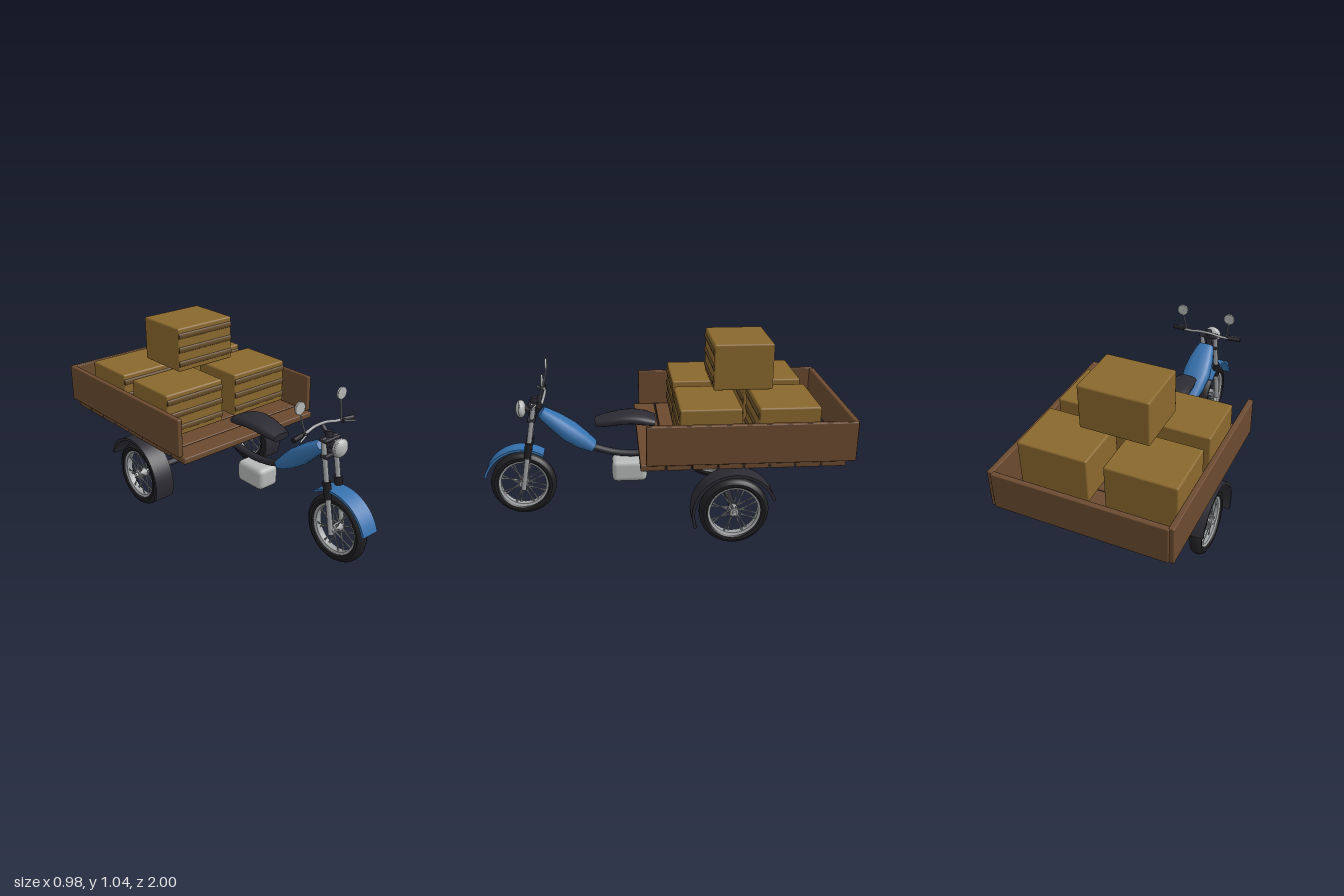
import * as THREE from 'three';
import { toCreasedNormals } from 'three/addons/utils/BufferGeometryUtils.js';
import { RoundedBoxGeometry } from 'three/addons/geometries/RoundedBoxGeometry.js';

const mat = (name, color) => {
  const m = new THREE.MeshStandardMaterial({ color });
  m.name = name;
  return m;
};
const V = (x, y, z) => new THREE.Vector3(x, y, z);

export function createModel() {
  const rubber = mat('black rubber', 0x202024);
  const dark = mat('dark frame', 0x2c2b33);
  const blue = mat('blue paint', 0x3571ad);
  const wood = mat('brown wood', 0x6b4a30);
  const crateTan = mat('tan crate', 0x8a682d);
  const slatBrown = mat('slat brown', 0x664c29);
  const chrome = mat('chrome', 0x9fa2a4);
  const pale = mat('pale metal', 0xb6b9b8);

  const root = new THREE.Group();
  root.name = 'cargoTricycle';

  const add = (name, geo, material, parent = root, pos = [0, 0, 0]) => {
    const m = new THREE.Mesh(geo, material);
    m.name = name;
    m.position.set(...pos);
    parent.add(m);
    return m;
  };
  const box = (name, size, pos, material, r = 0.006, parent = root) =>
    add(name, new RoundedBoxGeometry(...size, 2, r), material, parent, pos);
  // Cylinder between two points
  const rod = (name, a, b, r, material, parent = root, sides = 12, r2 = r) => {
    const d = b.clone().sub(a);
    const m = add(name, new THREE.CylinderGeometry(r2, r, d.length(), sides), material, parent);
    m.position.copy(a).addScaledVector(d, 0.5);
    m.quaternion.setFromUnitVectors(V(0, 1, 0), d.normalize());
    return m;
  };
  const tube = (name, pts, r, material, sides = 10) =>
    add(name, new THREE.TubeGeometry(new THREE.CatmullRomCurve3(pts), 32, r, sides), material);

  // Elliptical loft along the middle plane; sections run from front to back: [z, y, halfWidth, halfHeight]
  const loft = (name, sections, material, n = 16) => {
    const pos = [], idx = [], last = sections.length - 1;
    sections.forEach(([z, y, w, h], i) => {
      const p = sections[Math.max(0, i - 1)], q = sections[Math.min(last, i + 1)];
      const dz = q[0] - p[0], dy = q[1] - p[1], len = Math.hypot(dz, dy);
      for (let j = 0; j < n; j++) {
        const a = (j / n) * Math.PI * 2, c = Math.cos(a), s = Math.sin(a);
        const u = Math.sign(c) * Math.abs(c) ** 0.75 * w, v = Math.sign(s) * Math.abs(s) ** 0.75 * h;
        pos.push(u, y - (dz / len) * v, z + (dy / len) * v);
      }
    });
    for (let i = 0; i < last; i++) for (let j = 0; j < n; j++) {
      const k = (j + 1) % n, a = i * n + j, b = a + n, c = i * n + k, d = c + n;
      idx.push(a, b, c, b, d, c);
    }
    for (let j = 1; j < n - 1; j++) {
      idx.push(0, j, j + 1);
      idx.push(last * n, last * n + j + 1, last * n + j);
    }
    const g = new THREE.BufferGeometry();
    g.setAttribute('position', new THREE.Float32BufferAttribute(pos, 3));
    g.setIndex(idx);
    return add(name, toCreasedNormals(g, 0.8), material);
  };

  // Spoked wheel turning about x
  const wheel = (name, x, z) => {
    const g = new THREE.Group();
    g.name = name;
    g.position.set(x, 0.19, z);
    root.add(g);
    const ring = (part, profile, material) => {
      const geo = new THREE.LatheGeometry(profile.map(p => new THREE.Vector2(...p)), 40);
      geo.rotateZ(Math.PI / 2);
      add(part, toCreasedNormals(geo, 0.6), material, g);
    };
    ring('tyre', [[0.138, -0.02], [0.15, -0.032], [0.165, -0.034], [0.18, -0.025], [0.187, -0.012],
      [0.187, 0.012], [0.18, 0.025], [0.165, 0.034], [0.15, 0.032], [0.138, 0.02], [0.138, -0.02]], rubber);
    ring('rim', [[0.129, -0.018], [0.141, -0.024], [0.141, 0.024], [0.129, 0.018], [0.129, -0.018]], chrome);
    rod('hub', V(-0.032, 0, 0), V(0.032, 0, 0), 0.024, chrome, g, 16);
    rod('hubCap', V(-0.045, 0, 0), V(0.045, 0, 0), 0.012, pale, g, 12);
    const count = 32;
    for (let i = 0; i < count; i++) {
      const side = i % 2 ? 1 : -1, a = (i / count) * Math.PI * 2;
      const b = a + (i % 4 < 2 ? 0.22 : -0.22);
      rod('spoke', V(side * 0.024, Math.sin(a) * 0.022, Math.cos(a) * 0.022),
        V(side * 0.006, Math.sin(b) * 0.132, Math.cos(b) * 0.132), 0.0026, pale, g, 5);
    }
  };
  wheel('frontWheel', 0, 0.785);
  wheel('leftRearWheel', 0.42, -0.37);
  wheel('rightRearWheel', -0.42, -0.37);

  // Curved mudguard, angles measured from the front upwards
  const mudguard = (name, x, z, width, R, t, from, to, material) => {
    const s = new THREE.Shape(), rad = Math.PI / 180;
    s.absarc(0, 0, R, from * rad, to * rad, false);
    s.absarc(0, 0, R - t, to * rad, from * rad, true);
    const g = new THREE.ExtrudeGeometry(s, { depth: width, bevelEnabled: false, curveSegments: 20 });
    g.translate(0, 0, -width / 2).rotateY(-Math.PI / 2);
    add(name, toCreasedNormals(g, 0.6), material, root, [x, 0.19, z]);
  };
  mudguard('frontMudguard', 0, 0.785, 0.104, 0.226, 0.014, 15, 124, blue);
  for (const s of [1, -1]) mudguard('rearMudguard', s * 0.42, -0.37, 0.118, 0.23, 0.016, -19, 160, dark);

  // Rear axle, crossbar and backbone
  rod('rearAxle', V(-0.42, 0.19, -0.37), V(0.42, 0.19, -0.37), 0.019, dark);
  rod('rearCrossbar', V(-0.37, 0.373, -0.37), V(0.37, 0.373, -0.37), 0.018, dark);
  tube('backboneTube', [V(0, 0.405, 0.385), V(0, 0.37, 0.27), V(0, 0.357, 0.15), V(0, 0.372, -0.02),
    V(0, 0.376, -0.2), V(0, 0.376, -0.385)], 0.02, dark);
  box('engine', [0.14, 0.128, 0.2], [0, 0.268, 0.175], pale, 0.03);

  // Tank and seat
  loft('fuelTank', [[0.664, 0.624, 0.045, 0.027], [0.645, 0.608, 0.056, 0.034], [0.58, 0.56, 0.075, 0.045],
    [0.51, 0.503, 0.085, 0.053], [0.44, 0.45, 0.072, 0.046], [0.376, 0.408, 0.056, 0.03]], blue);
  loft('seat', [[0.362, 0.555, 0.056, 0.022], [0.3, 0.566, 0.07, 0.029], [0.22, 0.58, 0.08, 0.031],
    [0.15, 0.583, 0.085, 0.031], [0.08, 0.572, 0.085, 0.03], [0.03, 0.56, 0.076, 0.022]], dark);

  // Steering: fork legs follow one slanted line from axle to clamp
  const forkAt = (x, y) => V(x, y, 0.78 - (y - 0.19) * 0.165);
  for (const s of [1, -1]) {
    const x = s * 0.043;
    rod('forkTube', forkAt(x, 0.43), forkAt(x, 0.68), 0.014, chrome);
    rod('forkGaiter', forkAt(x, 0.36), forkAt(x, 0.455), 0.019, rubber, root, 14, 0.023);
    rod('forkSlider', forkAt(x, 0.165), forkAt(x, 0.37), 0.014, chrome);
    // Grip, lever and mirror on each side
    rod('grip', V(s * 0.145, 0.713, 0.652), V(s * 0.218, 0.71, 0.664), 0.013, rubber);
    rod('lever', V(s * 0.14, 0.715, 0.672), V(s * 0.2, 0.706, 0.694), 0.005, chrome, root, 6);
    box('leverMount', [0.02, 0.022, 0.03], [s * 0.14, 0.714, 0.66], dark, 0.004);
    rod('mirrorStem', V(s * 0.13, 0.715, 0.66), V(s * 0.148, 0.83, 0.633), 0.004, chrome, root, 8);
    rod('mirror', V(s * 0.15, 0.853, 0.63), V(s * 0.15, 0.853, 0.64), 0.033, pale, root, 24);
  }
  rod('steeringColumn', forkAt(0, 0.6), forkAt(0, 0.71), 0.02, dark);
  box('upperClamp', [0.115, 0.018, 0.05], [0, 0.672, 0.705], dark);
  box('lowerClamp', [0.115, 0.022, 0.045], [0, 0.59, 0.716], dark);
  rod('handlebarStem', V(0, 0.68, 0.698), V(0, 0.724, 0.65), 0.012, dark);
  tube('handlebar', [V(-0.15, 0.713, 0.653), V(-0.1, 0.715, 0.645), V(-0.045, 0.726, 0.64), V(0.045, 0.726, 0.64),
    V(0.1, 0.715, 0.645), V(0.15, 0.713, 0.653)], 0.008, chrome);

  // Headlamp
  const lamp = new THREE.SphereGeometry(0.05, 24, 16);
  lamp.scale(1, 1, 0.58);
  add('headlamp', lamp, pale, root, [0, 0.643, 0.775]);
  const rim = new THREE.TorusGeometry(0.046, 0.005, 8, 28);
  add('headlampRim', rim, chrome, root, [0, 0.643, 0.78]);
  rod('headlampBracket', V(0, 0.64, 0.7), V(0, 0.643, 0.76), 0.02, dark);

  // Cargo tray
  for (let i = 0; i < 8; i++)
    box('floorPlank', [0.95, 0.035, 0.128], [0, 0.473, 0.066 - i * 0.135], wood);
  for (const s of [1, -1])
    box('traySide', [0.03, 0.215, 1.09], [s * 0.476, 0.597, -0.445], wood);
  box('trayBack', [0.935, 0.21, 0.03], [0, 0.597, -0.985], wood);

  // Crates with rounded slats on the front face
  const crate = (x, y, z) => {
    const g = new THREE.Group();
    g.name = 'crate';
    g.position.set(x, y, z);
    root.add(g);
    box('crateBody', [0.388, 0.254, 0.322], [0, 0, 0], crateTan, 0.01, g);
    for (const h of [0.082, 0, -0.082]) {
      const slat = new THREE.CylinderGeometry(0.017, 0.017, 0.378, 12);
      slat.rotateZ(Math.PI / 2).scale(1, 1, 0.45);
      add('slat', slat, slatBrown, g, [0, h, 0.16]);
    }
  };
  for (const x of [-0.238, 0.238]) for (const z of [-0.236, -0.645]) crate(x, 0.643, z);
  crate(0, 0.916, -0.438);

  return root;
}
